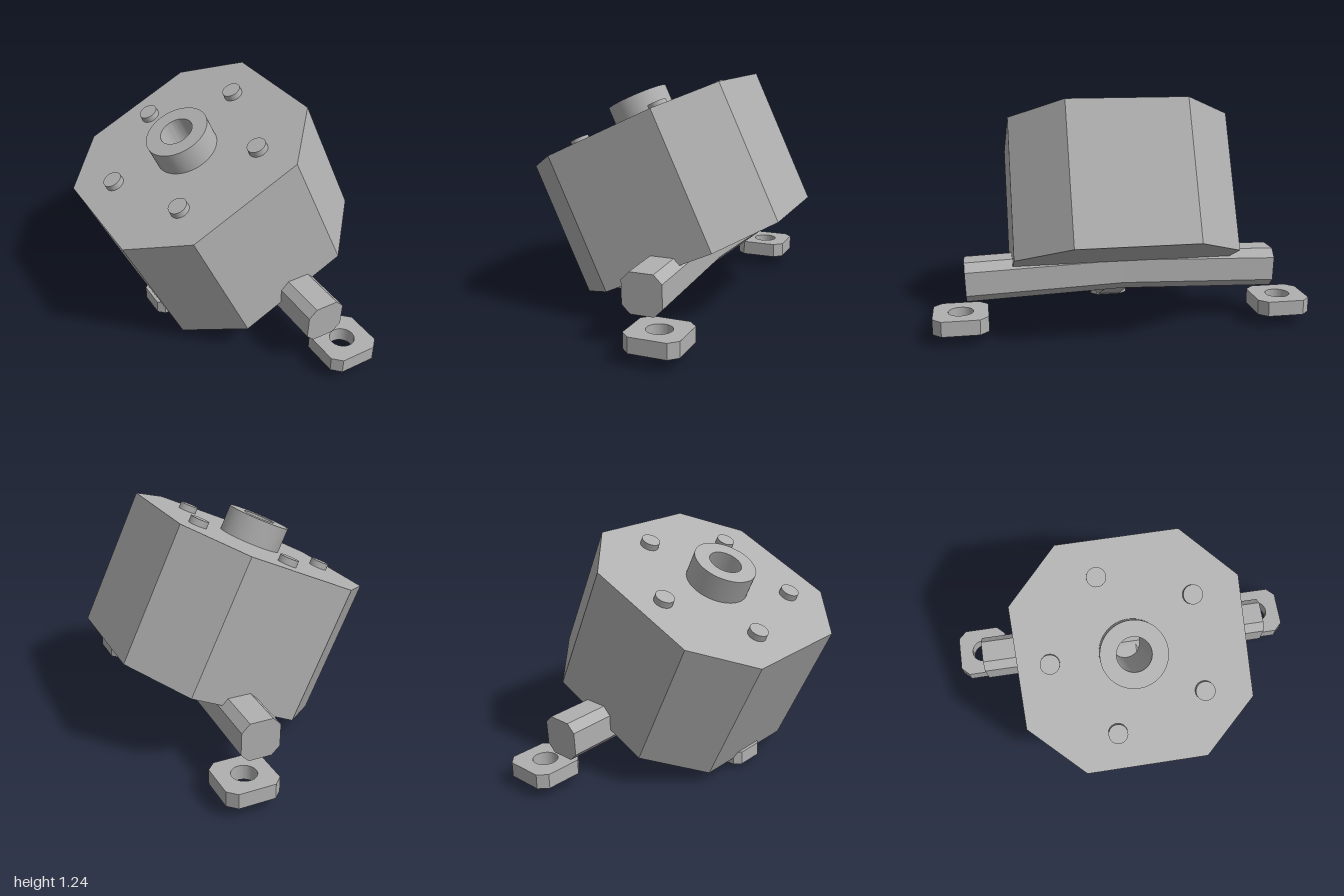
import * as THREE from 'three';
import { toCreasedNormals } from 'three/addons/utils/BufferGeometryUtils.js';

const grey = new THREE.MeshStandardMaterial({ color: 0xb0b0b0 });
grey.name = 'grey';

// Square outline with cut corners, optionally with a round hole
function cutSquare(half, flat, hole = 0) {
  const s = new THREE.Shape([
    [half, -flat], [half, flat], [flat, half], [-flat, half],
    [-half, flat], [-half, -flat], [-flat, -half], [flat, -half],
  ].map(([x, y]) => new THREE.Vector2(x, y)));
  if (hole) s.holes.push(new THREE.Path().absarc(0, 0, hole, 0, Math.PI * 2, true));
  return s;
}

function extrude(shape, depth, steps = 1) {
  return new THREE.ExtrudeGeometry(shape, { depth, steps, bevelEnabled: false, curveSegments: 32 });
}

// Extrusion standing upright from y = 0
function upright(shape, height) {
  return toCreasedNormals(extrude(shape, height).rotateX(-Math.PI / 2), 0.5);
}

export function createModel() {
  const model = new THREE.Group();
  model.name = 'tiltedMotor';

  function add(parent, name, geometry, x, y, z) {
    const mesh = new THREE.Mesh(geometry, grey);
    mesh.name = name;
    mesh.position.set(x, y, z);
    parent.add(mesh);
    return mesh;
  }

  // Tilted assembly, origin at the centre of the housing's underside
  const height = 0.75;
  const tilted = new THREE.Group();
  tilted.name = 'tiltedAssembly';
  tilted.position.set(0.158, 0.3125, 0);
  tilted.rotation.z = THREE.MathUtils.degToRad(25);
  model.add(tilted);

  // Housing and its bored collar
  add(tilted, 'housing', upright(cutSquare(0.585, 0.313, 0.088), height), 0, 0, 0);
  const ring = new THREE.Shape().absarc(0, 0, 0.17, 0, Math.PI * 2, false);
  ring.holes.push(new THREE.Path().absarc(0, 0, 0.088, 0, Math.PI * 2, true));
  add(tilted, 'collar', upright(ring, 0.136), 0, height, 0);

  // Five screw heads around the collar
  const screw = new THREE.CylinderGeometry(0.05, 0.05, 0.035, 32);
  for (let i = 0; i < 5; i++) {
    const a = i * Math.PI * 2 / 5;
    add(tilted, 'screwHead' + (i + 1), screw,
      0.42 * Math.sin(a), height + 0.0175, -0.42 * Math.cos(a));
  }

  // Short arm running along the underside to the side pad
  const arm = extrude(cutSquare(0.105, 0.062), 0.52).rotateY(-Math.PI / 2);
  add(tilted, 'sideArm', toCreasedNormals(arm, 0.4), 0.012, 0, 0);

  // Cross bar, bowed slightly towards the housing in the middle
  const half = 0.83;
  const bar = extrude(cutSquare(0.105, 0.062), half * 2, 2).translate(0, 0, -half);
  const p = bar.attributes.position;
  for (let i = 0; i < p.count; i++) {
    const x = p.getX(i), y = p.getY(i), z = p.getZ(i);
    const bow = 1 - Math.abs(z) / half;
    p.setXYZ(i, x - 0.012 * bow, y + 0.025 * bow, z + Math.sign(Math.round(z * 100)) * 0.04 * y);
  }
  bar.computeVertexNormals();
  add(model, 'crossBar', bar, 0.187, 0.287, 0);

  // Drilled mounting feet at both ends of the bar
  const foot = upright(cutSquare(0.142, 0.097, 0.065), 0.08);
  add(model, 'frontFoot', foot, 0.29, 0.065, 0.858);
  add(model, 'backFoot', foot, 0.29, 0.065, -0.858);

  // Smaller drilled pad at the end of the arm
  add(model, 'sidePad', upright(cutSquare(0.105, 0.072, 0.049), 0.072), -0.3, 0.027, 0);

  return model;
}
